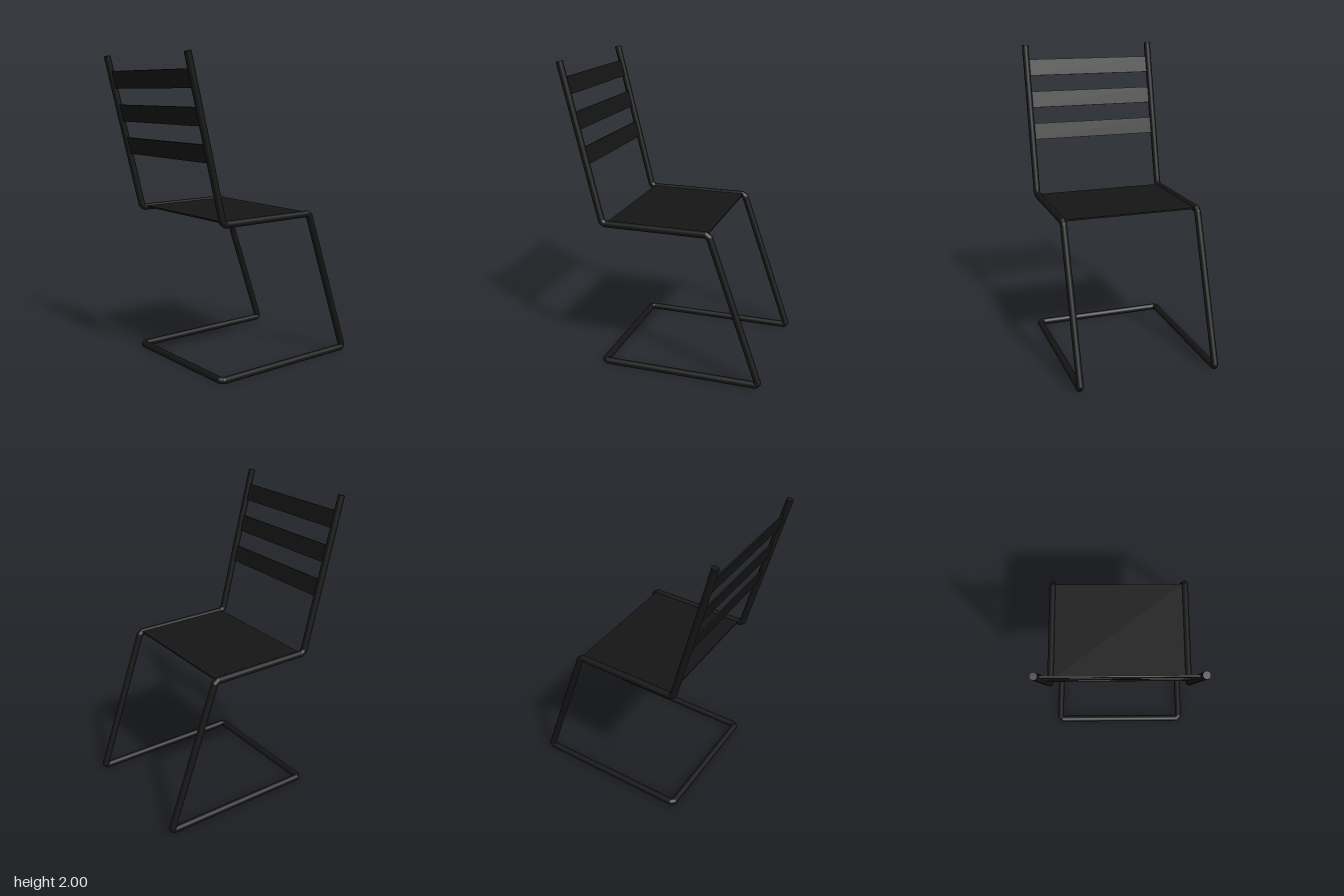
import * as THREE from 'three';

const R = 0.022; // tube radius
const X = 0.45; // half distance between the side frames
const mat = new THREE.MeshStandardMaterial({ color: 0x151515 });

function add(parent, name, geometry) {
  const mesh = new THREE.Mesh(geometry, mat);
  mesh.name = name;
  parent.add(mesh);
  return mesh;
}

// straight tube between two points
function tube(parent, name, a, b) {
  const dir = b.clone().sub(a);
  const mesh = add(parent, name, new THREE.CylinderGeometry(R, R, dir.length(), 20));
  mesh.position.copy(a).add(b).multiplyScalar(0.5);
  mesh.quaternion.setFromUnitVectors(new THREE.Vector3(0, 1, 0), dir.normalize());
}

// replace each inner corner by a short cut, as in a tight tube bend
function cutCorners(points, cut) {
  const out = [points[0]];
  for (let i = 1; i < points.length - 1; i++) {
    for (const other of [points[i - 1], points[i + 1]]) {
      const dir = other.clone().sub(points[i]).normalize();
      out.push(points[i].clone().addScaledVector(dir, cut));
    }
  }
  out.push(points[points.length - 1]);
  return out;
}

export function createModel() {
  const chair = new THREE.Group();
  chair.name = 'cantileverChair';

  // one continuous bent tube: back post, seat rail, leg, base, and mirrored back
  const side = [[1.995, 0.643], [0.99, 0.397], [0.99, -0.302], [0.025, -0.638], [0.025, 0.408]];
  const corners = [
    ...side.map(([y, z]) => new THREE.Vector3(X, y, z)),
    ...side.slice().reverse().map(([y, z]) => new THREE.Vector3(-X, y, z)),
  ];
  const frame = new THREE.Group();
  frame.name = 'tubeFrame';
  chair.add(frame);
  const path = cutCorners(corners, 0.018);
  for (let i = 0; i < path.length - 1; i++) {
    tube(frame, 'frameTube', path[i], path[i + 1]);
    if (i > 0) add(frame, 'frameBend', new THREE.SphereGeometry(R, 20, 12)).position.copy(path[i]);
  }
  add(frame, 'frameBend', new THREE.SphereGeometry(R, 20, 12)).position.copy(path[path.length - 2]);

  // thin seat panel between the rails
  const seat = add(chair, 'seat', new THREE.BoxGeometry(2 * X - 0.03, 0.01, 0.665));
  seat.position.set(0, 0.995, 0.0375);

  // three back slats, leaning with the posts
  const slope = (0.643 - 0.397) / (1.995 - 0.99);
  for (const y of [1.415, 1.63, 1.845]) {
    const slat = add(chair, 'backSlat', new THREE.BoxGeometry(2 * X - 0.03, 0.111, 0.01));
    slat.position.set(0, y, 0.397 + (y - 0.99) * slope);
    slat.rotation.x = Math.atan(slope);
  }
  return chair;
}
